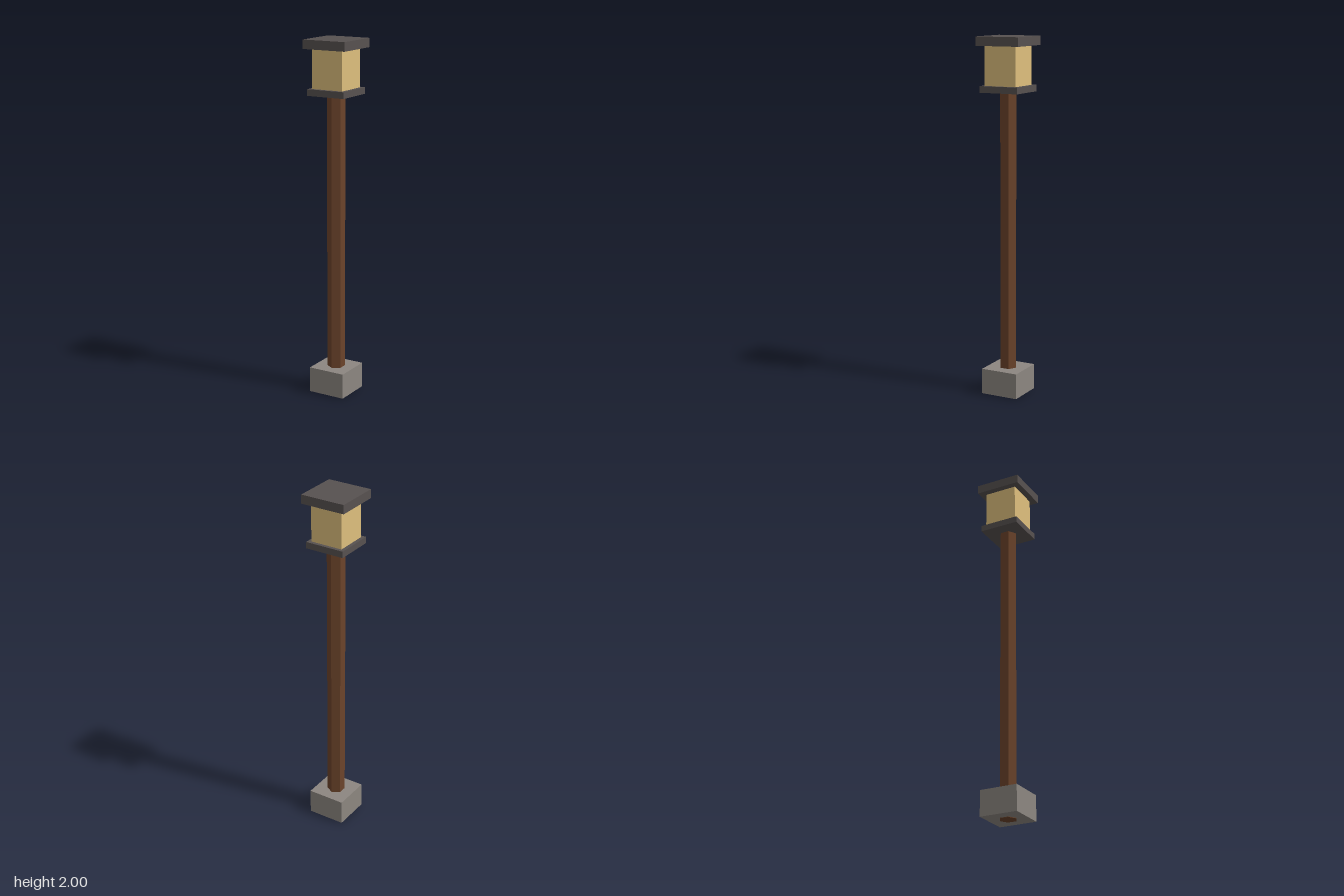
import * as THREE from 'three';

const mat = (color) => new THREE.MeshStandardMaterial({ color, flatShading: true });

export function createModel() {
  const group = new THREE.Group();
  const stone = mat(0x8c8680);
  const wood = mat(0x6b432a);
  const iron = mat(0x575150);
  const glow = mat(0xdebf7d);

  const add = (name, geometry, material, bottom, top) => {
    const mesh = new THREE.Mesh(geometry, material);
    mesh.name = name;
    mesh.position.y = (bottom + top) / 2;
    group.add(mesh);
  };
  // square block between two heights
  const block = (name, width, bottom, top, material) =>
    add(name, new THREE.BoxGeometry(width, top - bottom, width), material, bottom, top);

  // stone footing; the post's foot shows just below it
  block('base', 0.217, 0.003, 0.147, stone);

  // six-sided wooden post with a corner facing front
  add('post', new THREE.CylinderGeometry(0.05, 0.05, 1.7, 6), wood, 0, 1.7);

  // lantern
  block('lanternPlate', 0.227, 1.699, 1.735, iron);
  block('lanternGlass', 0.187, 1.735, 1.95, glow);
  block('lanternCap', 0.259, 1.95, 2, iron);

  return group;
}
